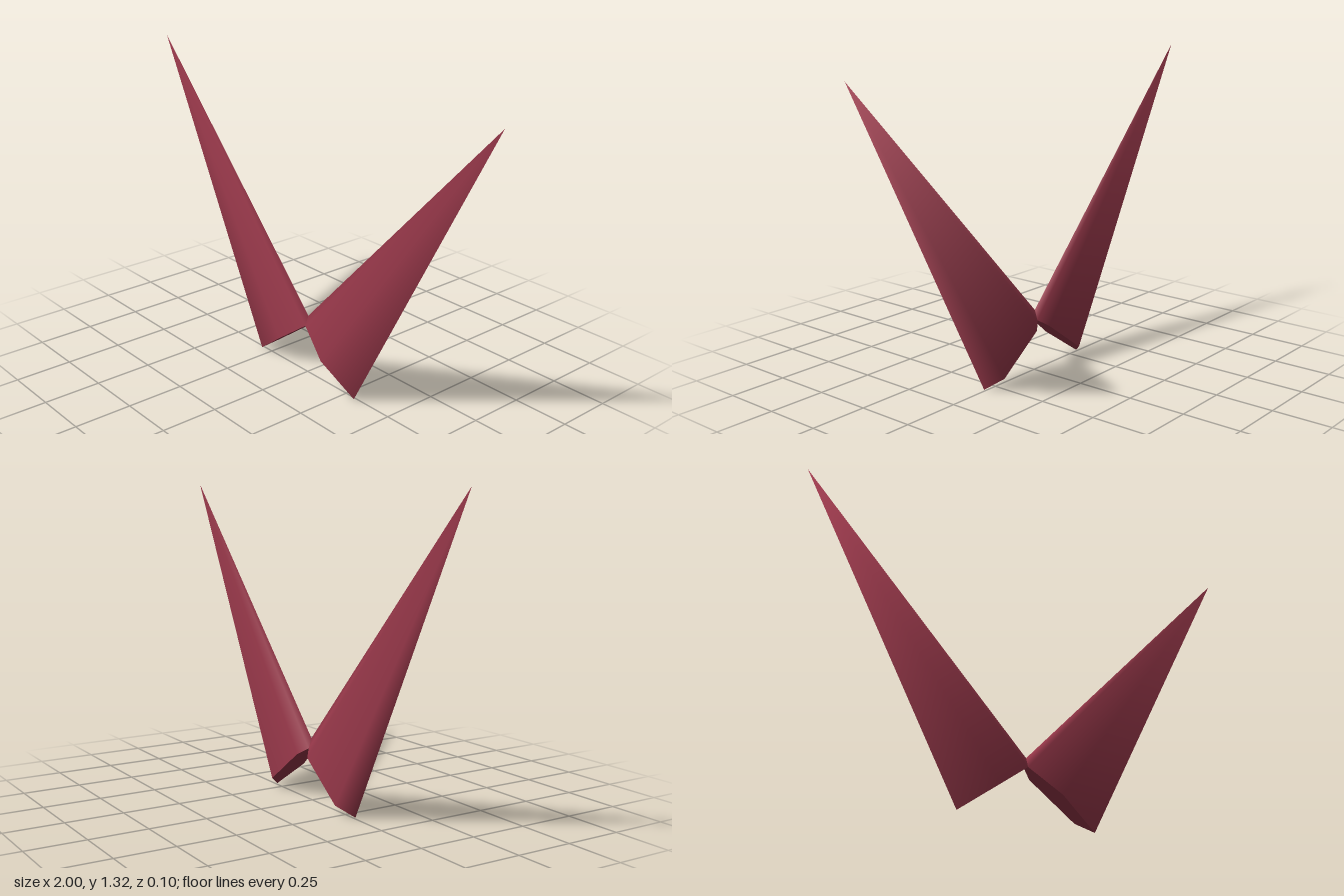
import * as THREE from 'three';

const red = new THREE.MeshStandardMaterial({ color: 0x98384a });
red.name = 'deep red';

// Cross-section at the wide end: inner front, front ridge, outer corner,
// two back corners, inner back, inner top
const section = [
  [0, 0.225, 0.013], [0.14, 0.122, 0.047], [0.308, 0, 0.01],
  [0.25, 0.045, -0.05], [0.04, 0.197, -0.05], [0, 0.225, -0.018], [0, 0.268, -0.004],
];
const tip = [1, 1.32, -0.006];

function buildGeometry(points, faces, side) {
  const geometry = new THREE.BufferGeometry();
  const positions = points.flatMap(([x, y, z]) => [side * x, y, z]);
  geometry.setAttribute('position', new THREE.Float32BufferAttribute(positions, 3));
  // Mirroring reverses the corner order
  geometry.setIndex(faces.flatMap(([a, b, c]) => (side > 0 ? [a, b, c] : [a, c, b])));
  geometry.computeVertexNormals();
  return geometry;
}

function createWing(side) {
  const wing = new THREE.Group();
  wing.name = side > 0 ? 'leftWing' : 'rightWing';

  // Smooth tapering sides, running from the section to the tip
  const n = section.length;
  const sides = section.map((_, i) => [i, (i + 1) % n, n]);
  const blade = new THREE.Mesh(buildGeometry([...section, tip], sides, side), red);
  blade.name = 'blade';

  // Flat cap closing the wide lower end
  const capFaces = [1, 2, 3, 4].map((i) => [0, i + 1, i]);
  const cap = new THREE.Mesh(buildGeometry(section.slice(0, 6), capFaces, side), red);
  cap.name = 'lowerEnd';

  wing.add(blade, cap);
  return wing;
}

export function createModel() {
  const model = new THREE.Group();
  model.name = 'pairedWings';
  for (const side of [1, -1]) model.add(createWing(side));
  return model;
}
